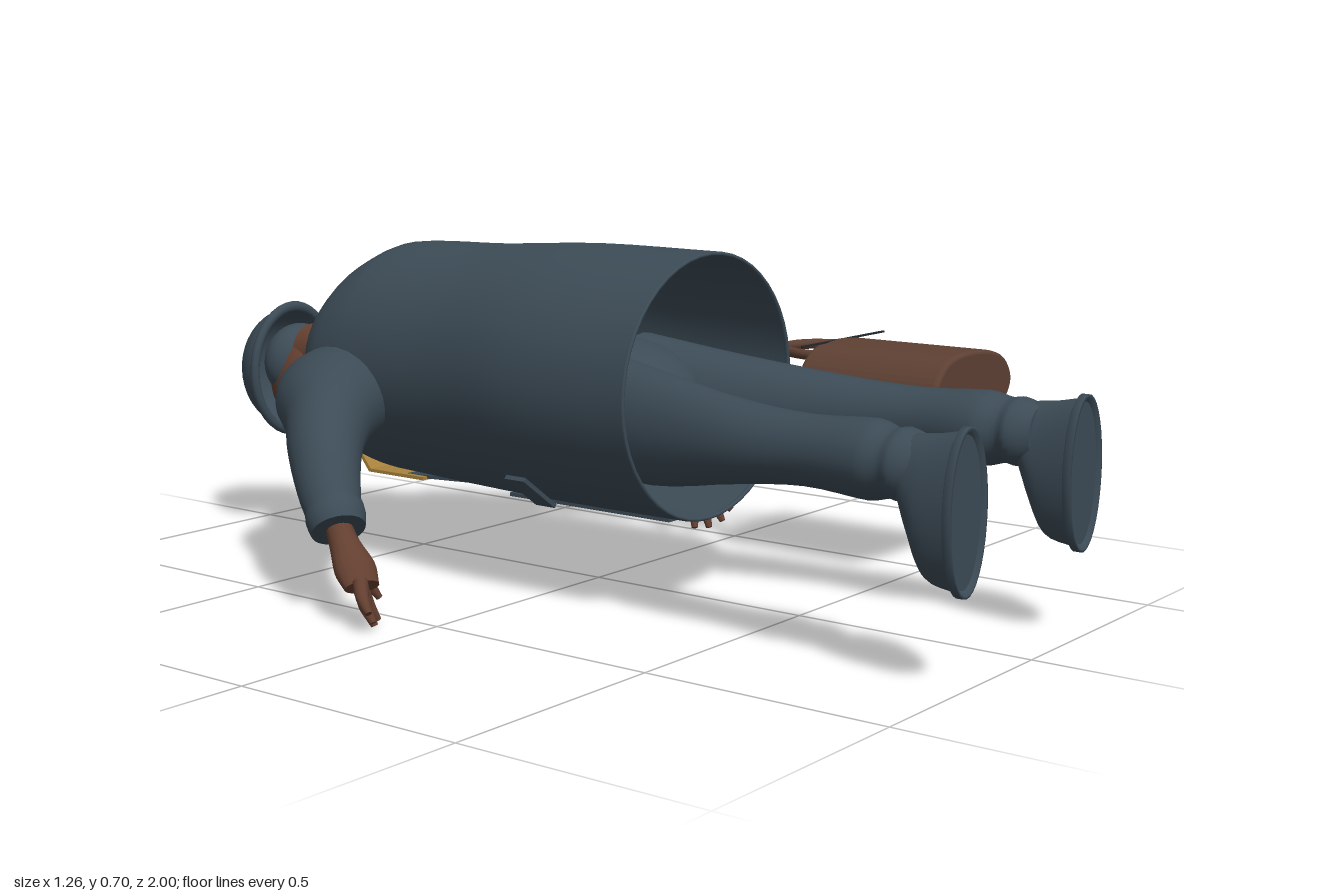
import * as THREE from 'three';

const mat = (name, color, side = THREE.FrontSide) => {
  const m = new THREE.MeshStandardMaterial({ color, side });
  m.name = name;
  return m;
};

// Smooth tube through rings [x, y, z, ru, rv]; flat = rings stay upright in the xy plane
function loft(rings, { flat = true, sub = 4, n = 28, capA = false, capB = false } = {}) {
  const path = new THREE.CatmullRomCurve3(rings.map(r => new THREE.Vector3(r[0], r[1], r[2])));
  const rad = new THREE.CatmullRomCurve3(rings.map((r, i) => new THREE.Vector3(r[3], r[4], i * 0.05)));
  const count = (rings.length - 1) * sub;
  const pos = [], idx = [];
  const ring = i => {
    const t = i / count, c = path.getPoint(t), r = rad.getPoint(t);
    let u = new THREE.Vector3(1, 0, 0), v = new THREE.Vector3(0, 1, 0);
    if (!flat) {
      const w = path.getTangent(t);
      u = new THREE.Vector3(0, 1, 0).cross(w).normalize();
      v = w.clone().cross(u);
    }
    for (let j = 0; j < n; j++) {
      const a = (j / n) * Math.PI * 2;
      const p = c.clone().addScaledVector(u, r.x * Math.cos(a)).addScaledVector(v, r.y * Math.sin(a));
      pos.push(p.x, p.y, p.z);
    }
    return c;
  };
  for (let i = 0; i <= count; i++) ring(i);
  for (let i = 0; i < count; i++) for (let j = 0; j < n; j++) {
    const a = i * n + j, b = i * n + (j + 1) % n;
    idx.push(a, b, a + n, b, b + n, a + n);
  }
  const cap = (i, end) => {
    const s = pos.length / 3, c = ring(i);
    pos.push(c.x, c.y, c.z);
    for (let j = 0; j < n; j++) {
      const k = (j + 1) % n;
      end ? idx.push(s + n, s + j, s + k) : idx.push(s + n, s + k, s + j);
    }
  };
  if (capA) cap(0, false);
  if (capB) cap(count, true);
  const g = new THREE.BufferGeometry();
  g.setAttribute('position', new THREE.Float32BufferAttribute(pos, 3));
  g.setIndex(idx);
  g.computeVertexNormals();
  return g;
}

export function createModel() {
  const cloth = mat('slate cloth', 0x3c4b56, THREE.DoubleSide);
  const skin = mat('brown skin', 0x633f30);
  const gold = mat('gold scarf', 0xa9833d, THREE.DoubleSide);
  const leather = mat('brown leather', 0x5e4033);
  const dark = mat('dark trim', 0x22282d);

  const model = new THREE.Group();
  const figure = new THREE.Group();
  figure.name = 'figure';
  figure.position.x = -0.026;
  model.add(figure);

  const add = (parent, name, geo, m, p = [0, 0, 0], r = [0, 0, 0], s = [1, 1, 1]) => {
    const mesh = new THREE.Mesh(geo, m);
    mesh.name = name;
    mesh.position.set(...p);
    mesh.rotation.set(...r);
    mesh.scale.set(...s);
    parent.add(mesh);
    return mesh;
  };
  const ball = (name, m, p, s) => add(figure, name, new THREE.SphereGeometry(1, 32, 20), m, p, [0, 0, 0], s);

  // Coat, open at the hem
  add(figure, 'coat', loft([
    [0, 0.43, -0.7, 0.1, 0.1], [0, 0.425, -0.64, 0.195, 0.175], [0, 0.43, -0.58, 0.23, 0.22],
    [0, 0.44, -0.49, 0.242, 0.25], [0, 0.44, -0.25, 0.25, 0.259], [0, 0.445, 0, 0.282, 0.268],
    [0, 0.445, 0.3, 0.285, 0.267],
  ], { n: 48 }), cloth);
  add(figure, 'coatHem', new THREE.TorusGeometry(1, 0.016, 8, 48), cloth,
    [0, 0.445, 0.298], [0, 0, 0], [0.281, 0.263, 0.3]);
  add(figure, 'lowerPlacket', new THREE.BoxGeometry(0.07, 0.008, 0.42), cloth, [0.01, 0.17, 0.01]);
  add(figure, 'upperPlacket', new THREE.BoxGeometry(0.07, 0.008, 0.32), cloth, [0.01, 0.182, -0.36], [-0.05, 0, 0]);

  // Pelvis inside the coat
  ball('hips', cloth, [0, 0.4, 0.03], [0.19, 0.13, 0.22]);

  for (const s of [-1, 1]) {
    const side = s > 0 ? 'left' : 'right';

    // Lapel and pocket flap
    const lapel = new THREE.Shape([[0.02, -0.44], [0.06, -0.66], [0.14, -0.62], [0.12, -0.56]]
      .map(([x, z]) => new THREE.Vector2(s * x, z)));
    add(figure, side + 'Lapel', new THREE.ExtrudeGeometry(lapel, { depth: 0.008, bevelEnabled: false }),
      cloth, [0, 0.36, 0.06], [Math.PI / 2 + 0.3, 0, 0]);
    add(figure, side + 'PocketFlap', new THREE.BoxGeometry(0.12, 0.009, 0.05), cloth,
      [s * 0.17, 0.222, -0.02], [0, 0, s * 0.62]);

    // Sleeve and cuff
    add(figure, side + 'Sleeve', loft([
      [s * 0.16, 0.385, -0.54, 0.12, 0.1], [s * 0.25, 0.375, -0.49, 0.128, 0.105],
      [s * 0.36, 0.352, -0.4, 0.09, 0.09], [s * 0.44, 0.305, -0.33, 0.074, 0.078],
      [s * 0.5, 0.23, -0.255, 0.06, 0.06], [s * 0.522, 0.18, -0.212, 0.05, 0.05],
    ], { flat: false, capB: true }), cloth);
    add(figure, side + 'Cuff', loft([
      [s * 0.506, 0.212, -0.24, 0.058, 0.058], [s * 0.516, 0.195, -0.225, 0.059, 0.059],
      [s * 0.524, 0.178, -0.211, 0.054, 0.054],
    ], { flat: false, capB: true }), cloth);

    // Hand with spread fingers
    add(figure, side + 'Palm', loft([
      [s * 0.518, 0.19, -0.22, 0.026, 0.026], [s * 0.53, 0.155, -0.19, 0.03, 0.028],
      [s * 0.543, 0.115, -0.15, 0.042, 0.03], [s * 0.556, 0.085, -0.118, 0.036, 0.02],
    ], { flat: false, capB: true, n: 16 }), skin);
    [[0.515, 0.13, -0.175, 0.482, 0.045, -0.145], [0.542, 0.095, -0.138, 0.522, 0.014, -0.11],
      [0.552, 0.09, -0.125, 0.552, 0.012, -0.09], [0.563, 0.09, -0.113, 0.577, 0.026, -0.07],
      [0.57, 0.1, -0.108, 0.598, 0.05, -0.06]].forEach(([a, b, c, d, e, f], i) => {
      add(figure, side + (i ? 'Finger' + i : 'Thumb'), loft([
        [s * a, b, c, 0.015, 0.015],
        [s * ((a + d) / 2 + 0.006), (b + e) / 2, (c + f) / 2, 0.013, 0.013],
        [s * d, e, f, 0.007, 0.007],
      ], { flat: false, capB: true, n: 10 }), skin);
    });

    // Trouser leg with a gathered ankle
    add(figure, side + 'Leg', loft([
      [s * 0.1, 0.4, 0.06, 0.1, 0.125], [s * 0.142, 0.38, 0.28, 0.084, 0.112],
      [s * 0.185, 0.385, 0.5, 0.072, 0.08], [s * 0.2, 0.39, 0.66, 0.064, 0.066],
      [s * 0.205, 0.39, 0.8, 0.078, 0.073], [s * 0.212, 0.39, 0.845, 0.066, 0.063],
      [s * 0.212, 0.39, 0.87, 0.072, 0.066], [s * 0.216, 0.388, 0.91, 0.054, 0.056],
    ], { capB: true }), cloth);

    // Shoe, then its rimmed sole
    add(figure, side + 'Shoe', loft([
      [s * 0.22, 0.385, 0.875, 0.05, 0.06], [s * 0.222, 0.35, 0.9, 0.056, 0.1],
      [s * 0.224, 0.325, 0.925, 0.06, 0.128], [s * 0.224, 0.322, 0.99, 0.063, 0.143],
    ], { capA: true }), cloth);
    add(figure, side + 'Sole', loft([
      [s * 0.224, 0.322, 0.98, 0.061, 0.14], [s * 0.224, 0.322, 0.985, 0.067, 0.15],
      [s * 0.224, 0.322, 0.999, 0.067, 0.15], [s * 0.224, 0.322, 1, 0.062, 0.145],
      [s * 0.224, 0.322, 0.992, 0.056, 0.136],
    ], { sub: 1, capB: true, n: 36 }), cloth);

    // Ear and eye
    ball(side + 'Ear', skin, [s * 0.087, 0.35, -0.805], [0.014, 0.02, 0.032]);
    ball(side + 'Eye', dark, [s * 0.034, 0.252, -0.825], [0.013, 0.006, 0.007]);
  }

  // Head, face and neck
  ball('head', skin, [0, 0.355, -0.825], [0.085, 0.112, 0.095]);
  ball('jaw', skin, [0, 0.315, -0.765], [0.062, 0.072, 0.055]);
  ball('nose', skin, [0, 0.248, -0.793], [0.017, 0.025, 0.024]);
  ball('lips', skin, [0, 0.255, -0.752], [0.026, 0.014, 0.012]);
  add(figure, 'neck', loft([[0, 0.42, -0.82, 0.06, 0.065], [0, 0.42, -0.74, 0.058, 0.062],
    [0, 0.425, -0.66, 0.068, 0.07]]), skin);
  ball('hair', cloth, [0, 0.395, -0.86], [0.09, 0.088, 0.066]);

  // Round hat with a narrow brim
  add(figure, 'hatCrown', new THREE.SphereGeometry(1, 36, 16, 0, Math.PI * 2, 0, Math.PI / 2), cloth,
    [0, 0.377, -0.88], [-Math.PI / 2, 0, 0], [0.117, 0.12, 0.14]);
  add(figure, 'hatBrim', new THREE.TorusGeometry(1, 0.085, 10, 40), cloth,
    [0, 0.377, -0.88], [0, 0, 0], [0.12, 0.143, 0.12]);

  // Scarf: neck loop and two hanging ends
  add(figure, 'scarfLoop', new THREE.TorusGeometry(0.092, 0.018, 12, 40), gold,
    [0, 0.405, -0.708], [0.12, 0, 0], [1, 1.17, 1]);
  [[-0.012, -0.44, 0.172], [0.042, -0.42, 0.166]].forEach(([x, end, y], i) => {
    const profile = new THREE.Shape([[0.7, 0.29], [0.605, y], [-end, y], [-end, y + 0.007],
      [0.6, y + 0.007], [0.695, 0.297]].map(([z, h]) => new THREE.Vector2(z, h)));
    add(figure, 'scarfEnd' + (i + 1), new THREE.ExtrudeGeometry(profile, { depth: 0.052, bevelEnabled: false }),
      gold, [x - 0.026, 0, 0], [0, Math.PI / 2, 0]).position.x = x - 0.026;
  });

  // Handbag beside the legs
  const bag = new THREE.Group();
  bag.name = 'handbag';
  model.add(bag);
  const outline = new THREE.Shape();
  outline.setFromPoints(new THREE.CatmullRomCurve3([[0.3, 0.42], [0.345, 0.475], [0.48, 0.49], [0.59, 0.463],
    [0.62, 0.415], [0.585, 0.368], [0.49, 0.35], [0.37, 0.358], [0.305, 0.388]]
    .map(([x, y]) => new THREE.Vector3(x, y, 0)), true).getPoints(54).slice(0, -1)
    .map(p => new THREE.Vector2(p.x, p.y)));
  add(bag, 'bagBody', new THREE.ExtrudeGeometry(outline, {
    depth: 0.31, bevelThickness: 0.01, bevelSize: 0.008, bevelOffset: -0.006, bevelSegments: 3,
  }), leather, [0, 0, 0.302]);
  for (const y of [0.372, 0.465]) {
    const arch = new THREE.CatmullRomCurve3([[0.362, 0.31], [0.368, 0.25], [0.405, 0.185], [0.46, 0.167],
      [0.515, 0.185], [0.552, 0.25], [0.558, 0.31]].map(([x, z]) => new THREE.Vector3(x, y, z)));
    add(bag, 'bagHandle', new THREE.TubeGeometry(arch, 36, 0.011, 10), leather);
  }
  for (const y of [0.35, 0.491]) {
    add(bag, 'bagSeam', new THREE.BoxGeometry(0.33, 0.004, 0.004), dark, [0.46, y, 0.305]);
  }
  return model;
}
